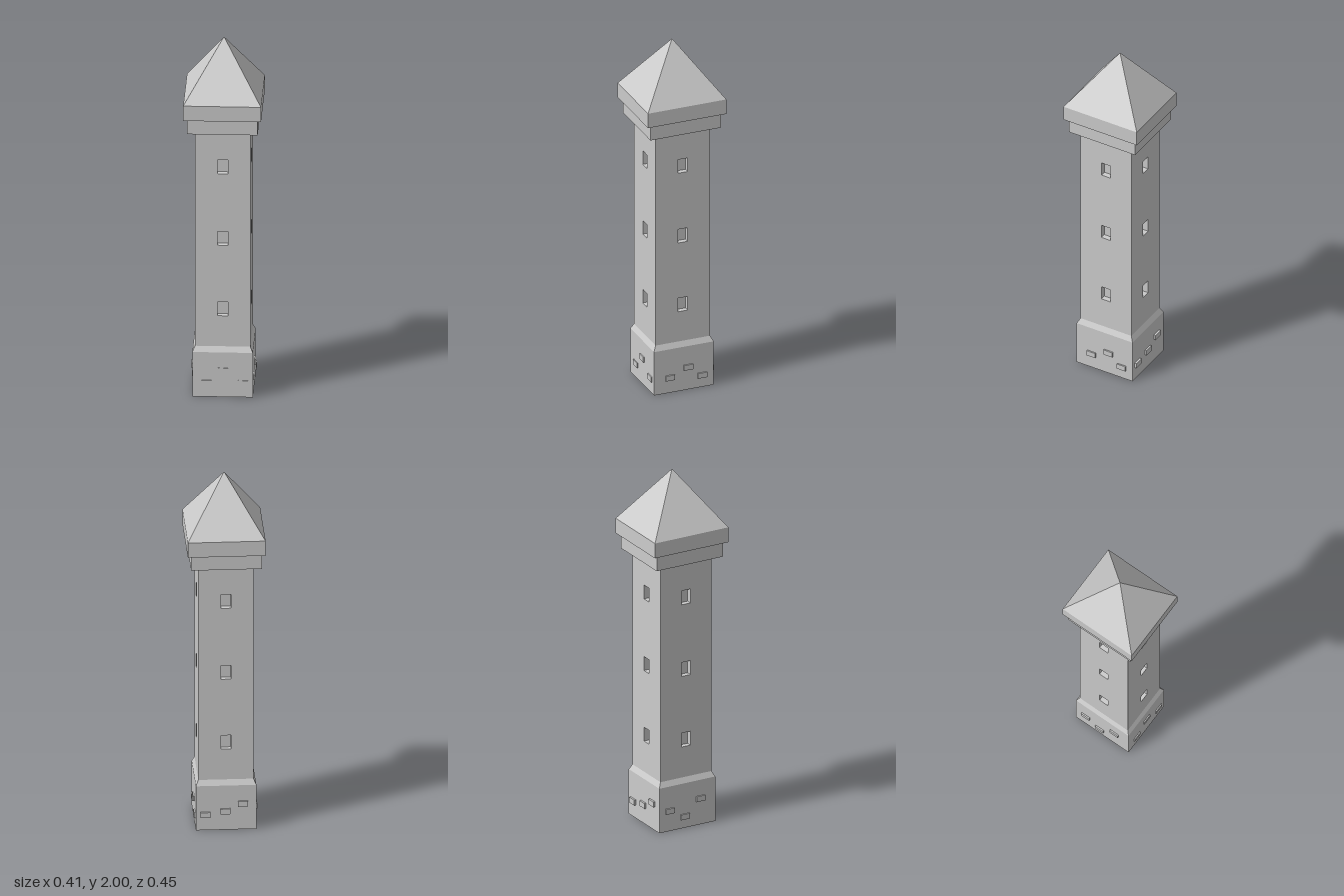
import * as THREE from 'three';

const grey = new THREE.MeshStandardMaterial({ color: 0xcccccc, flatShading: true });

// Four-sided block from y0 to y1 with half sizes [x, z] at the bottom and top
function block(name, y0, y1, bottom, top = bottom) {
  const g = new THREE.BoxGeometry(2, y1 - y0, 2).translate(0, (y0 + y1) / 2, 0);
  const p = g.attributes.position;
  const mid = (y0 + y1) / 2;
  for (let i = 0; i < p.count; i++) {
    const [hx, hz] = p.getY(i) > mid ? top : bottom;
    p.setX(i, p.getX(i) * hx);
    p.setZ(i, p.getZ(i) * hz);
  }
  g.computeVertexNormals();
  const mesh = new THREE.Mesh(g, grey);
  mesh.name = name;
  return mesh;
}

const BASE = [0.161, 0.172], SHAFT = [0.147, 0.157];
const SHAFT_Y0 = 0.285, SHAFT_Y1 = 1.52;
const WINDOW = { w: 0.055, h: 0.08, depth: 0.03, rows: [0.5, 0.905, 1.316] };

// One shaft wall with window openings; its plane faces +z at distance d
function wall(halfWidth, d) {
  const group = new THREE.Group();
  const { w, h, depth, rows } = WINDOW;
  const rect = (target, x, y0, y1) => target
    .moveTo(-x, y0).lineTo(x, y0).lineTo(x, y1).lineTo(-x, y1).closePath();
  const shape = rect(new THREE.Shape(), halfWidth, SHAFT_Y0, SHAFT_Y1);
  for (const y of rows) shape.holes.push(rect(new THREE.Path(), w / 2, y - h / 2, y + h / 2));
  const g = new THREE.ExtrudeGeometry(shape, { depth, bevelEnabled: false });

  // Mitre the inner corners so neighbouring walls meet cleanly
  const p = g.attributes.position;
  for (let i = 0; i < p.count; i++) {
    const x = p.getX(i);
    if (p.getZ(i) < depth / 2 && Math.abs(x) > halfWidth - 0.001) {
      p.setX(i, Math.sign(x) * (halfWidth - depth));
    }
  }
  g.translate(0, 0, d - depth);
  g.computeVertexNormals();
  const panel = new THREE.Mesh(g, grey);
  panel.name = 'shaftWall';
  group.add(panel);

  // Recessed window panes
  for (const y of rows) {
    const pane = new THREE.Mesh(new THREE.PlaneGeometry(w, h), grey);
    pane.position.set(0, y, d - depth);
    pane.name = 'windowPane';
    group.add(pane);
  }
  return group;
}

// Bricks standing slightly proud of one base face: [across, height] centres
function bricks(centres, d, proud) {
  const group = new THREE.Group();
  for (const [x, y] of centres) {
    const brick = new THREE.Mesh(new THREE.BoxGeometry(0.053, 0.03, proud * 2), grey);
    brick.position.set(x, y, d);
    brick.name = 'brick';
    group.add(brick);
  }
  return group;
}

export function createModel() {
  const tower = new THREE.Group();
  tower.name = 'tower';

  // Plinth and its sloped shoulder
  tower.add(block('base', 0, 0.255, BASE));
  tower.add(block('baseShoulder', 0.255, SHAFT_Y0, BASE, SHAFT));

  // Four sides: front, +x, back, -x
  const sides = [
    { name: 'front', proud: 0.006, at: [[-0.085, 0.08], [0.002, 0.152], [0.109, 0.082]] },
    { name: 'left', proud: 0.008, at: [[-0.08, 0.088], [0.025, 0.132], [0.106, 0.07]] },
    { name: 'back', proud: 0.011, at: [[-0.111, 0.09], [-0.004, 0.108], [0.089, 0.15]] },
    { name: 'right', proud: 0.008, at: [[-0.108, 0.115], [-0.016, 0.065], [0.08, 0.15]] },
  ];
  sides.forEach(({ name, proud, at }, i) => {
    const across = i % 2, out = 1 - across;
    const shaftWall = wall(SHAFT[across], SHAFT[out]);
    shaftWall.name = name + 'Wall';
    const brickwork = bricks(at, BASE[out], proud);
    brickwork.name = name + 'Bricks';
    for (const part of [shaftWall, brickwork]) {
      part.rotation.y = i * Math.PI / 2;
      tower.add(part);
    }
  });

  // Stepped cornice
  tower.add(block('lowerCornice', 1.52, 1.605, [0.188, 0.204]));
  tower.add(block('upperCornice', 1.605, 1.69, [0.207, 0.226]));

  // Pyramid roof
  const roofGeometry = new THREE.ConeGeometry(Math.SQRT2, 0.31, 4)
    .rotateY(Math.PI / 4).scale(0.207, 1, 0.226).translate(0, 1.845, 0);
  const roof = new THREE.Mesh(roofGeometry, grey);
  roof.name = 'roof';
  tower.add(roof);

  return tower;
}
